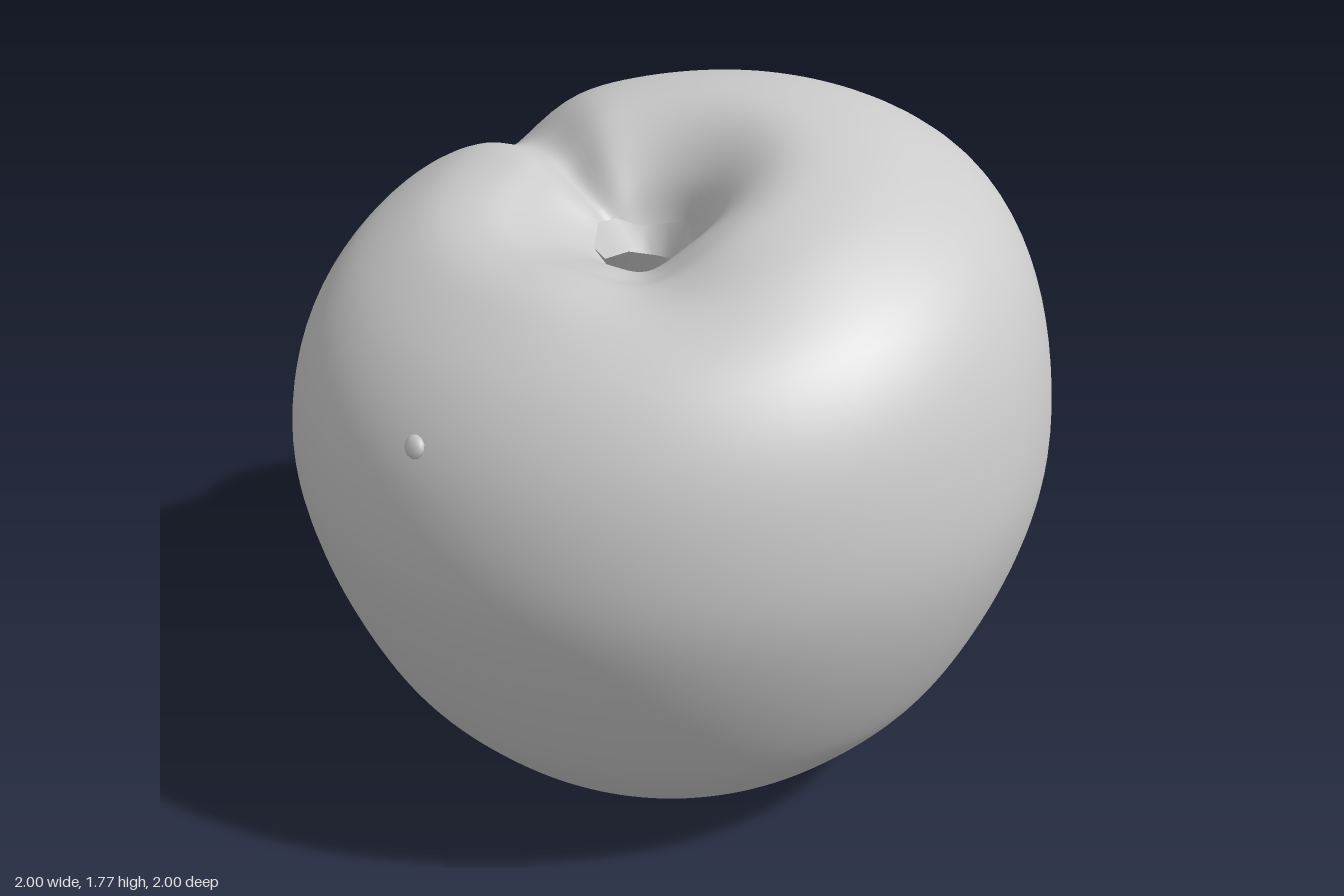
import * as THREE from 'three';
import { mergeVertices } from 'three/addons/utils/BufferGeometryUtils.js';

const material = new THREE.MeshStandardMaterial({ color: 0xcccccc, side: THREE.DoubleSide });
const { smoothstep } = THREE.MathUtils;

// Bell-shaped falloff around an angle measured from +z towards +x
function bell(phi, centre, width) {
  const d = Math.atan2(Math.sin(phi - centre), Math.cos(phi - centre));
  return Math.exp(-((d / width) ** 2));
}

// Fruit: a lathed profile, then tilted shoulders, a crease and a sunken top
function fruitBody() {
  const profile = [
    [0, 0.06], [0.1, 0.045], [0.2, 0.015], [0.33, 0], [0.5, 0.06], [0.67, 0.2], [0.82, 0.39],
    [0.95, 0.69], [1, 0.97], [0.955, 1.27], [0.83, 1.49], [0.62, 1.63], [0.43, 1.665],
    [0.3, 1.63], [0.19, 1.55], [0.12, 1.45], [0.07, 1.4], [0, 1.385],
  ].map(([r, y]) => new THREE.Vector2(r, y));
  const points = new THREE.SplineCurve(profile).getPoints(110);
  points[0].x = points[points.length - 1].x = 0;
  const geo = new THREE.LatheGeometry(points, 128);
  const pos = geo.attributes.position;
  for (let i = 0; i < pos.count; i++) {
    let x = pos.getX(i), y = pos.getY(i), z = pos.getZ(i);
    const r = Math.hypot(x, z), phi = Math.atan2(x, z);
    const y0 = y, upper = smoothstep(y0, 0.6, 1.62), rim = smoothstep(r, 0.03, 0.35);
    // shoulder is higher at the back on the +x side
    y += 0.1 * Math.cos(phi - 2.43) * smoothstep(y0, 0.75, 1.6) * rim;
    // crease running out of the hollow over the back shoulder
    const crease = bell(phi, -2.2, 0.2) * smoothstep(y0, 1.0, 1.55) * rim;
    const scale = 1 - 0.035 * crease;
    y -= 0.075 * crease;
    // shallow saddle at the front of the hollow
    y -= 0.06 * bell(phi, 0.3, 0.4) * upper * rim * (1 - smoothstep(r, 0.4, 0.85));
    // the hollow sits slightly off centre
    const shift = smoothstep(y0, 1.2, 1.6) * (1 - smoothstep(r, 0.2, 0.9));
    x = x * scale - 0.05 * shift;
    z = z * scale + 0.08 * shift;
    pos.setXYZ(i, x, y, z);
  }
  geo.deleteAttribute('uv');
  geo.deleteAttribute('normal');
  const merged = mergeVertices(geo, 1e-5);
  merged.computeVertexNormals();
  return merged;
}

// Ragged ring left where the stalk broke off
function stalkScar() {
  const geo = new THREE.CylinderGeometry(0.125, 0.07, 0.1, 11, 1, true);
  const pos = geo.attributes.position;
  for (let i = 0; i < pos.count; i++) {
    const a = Math.atan2(pos.getX(i), pos.getZ(i));
    if (pos.getY(i) > 0) pos.setY(i, 0.05 + 0.025 * Math.sin(3 * a + 1));
  }
  geo.computeVertexNormals();
  return geo;
}

export function createModel() {
  const group = new THREE.Group();
  const add = (name, geometry, x = 0, y = 0, z = 0) => {
    const mesh = new THREE.Mesh(geometry, material);
    mesh.name = name;
    mesh.position.set(x, y, z);
    group.add(mesh);
    return mesh;
  };
  add('fruitBody', fruitBody());
  add('stalkScar', stalkScar(), -0.05, 1.45, 0.09);

  // Small skin blemishes
  [[-0.39, 1.26, 0.85, 0.03], [-0.47, 0.28, 0.56, 0.025]].forEach(([x, y, z, s]) => {
    const spot = add('skinBlemish', new THREE.IcosahedronGeometry(s, 1), x, y, z);
    spot.scale.z = 0.5;
    spot.lookAt(x * 2, y + (y - 0.9), z * 2);
  });
  return group;
}
